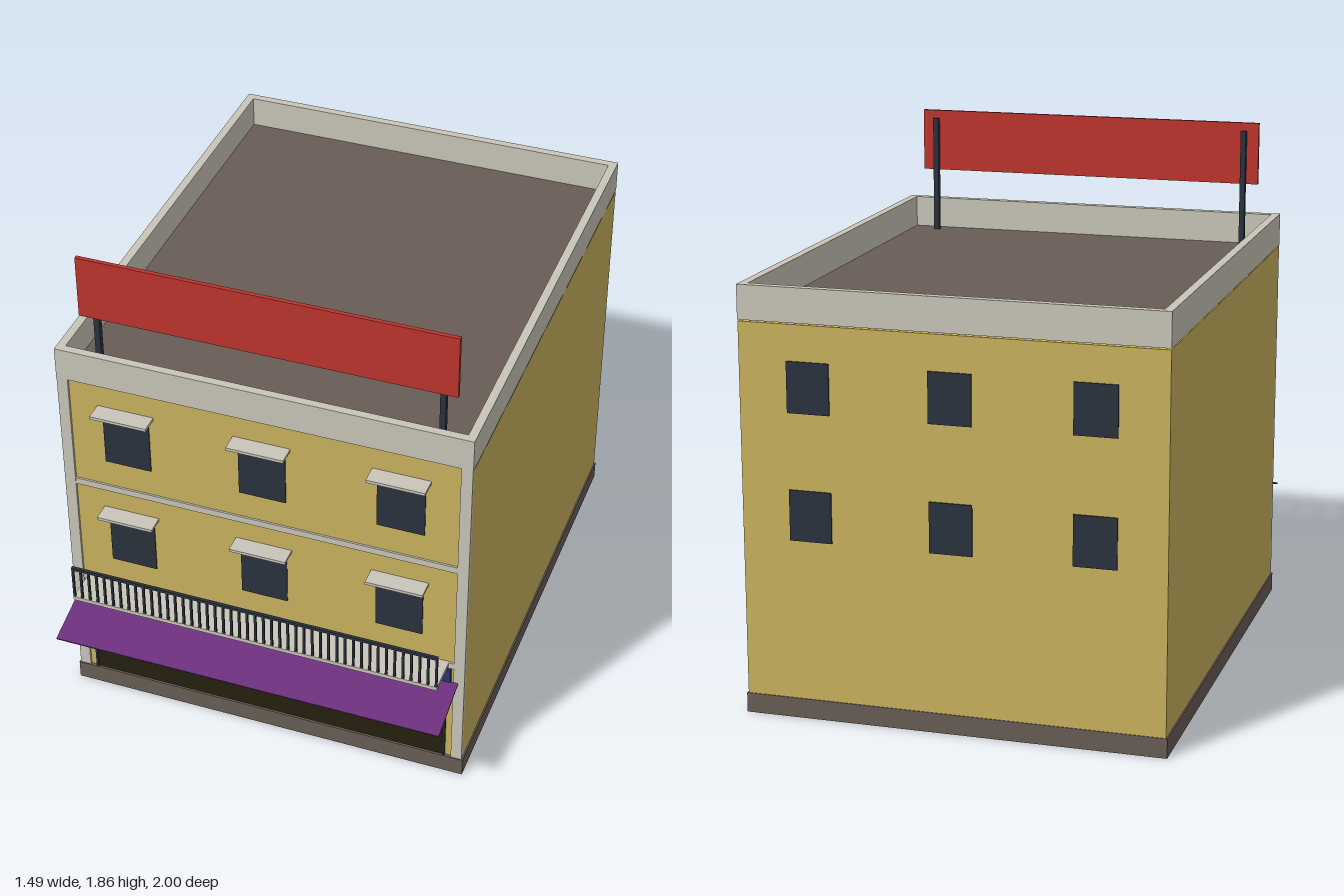
import * as THREE from 'three';

const paint = (name, color) => {
  const m = new THREE.MeshStandardMaterial({ color });
  m.name = name;
  return m;
};

export function createModel() {
  const yellow = paint('yellow plaster', 0xc9b35e);
  const stone = paint('pale stone', 0xc9c5b9);
  const brown = paint('brown grey', 0x695d56);
  const slate = paint('dark slate', 0x2b323e);
  const red = paint('red', 0xbe342d);
  const purple = paint('purple', 0x6b2f7b);
  const blue = paint('blue', 0x28366b);
  const steel = paint('shutter grey', 0x858b94);
  const dark = paint('shop dark', 0x24210f);

  const model = new THREE.Group();
  model.name = 'shopBuilding';

  // Box given by its extents along each axis
  const box = (name, mat, x0, x1, y0, y1, z0, z1, parent = model) => {
    const mesh = new THREE.Mesh(new THREE.BoxGeometry(x1 - x0, y1 - y0, z1 - z0), mat);
    mesh.position.set((x0 + x1) / 2, (y0 + y1) / 2, (z0 + z1) / 2);
    mesh.name = name;
    parent.add(mesh);
    return mesh;
  };
  const group = (name) => {
    const g = new THREE.Group();
    g.name = name;
    model.add(g);
    return g;
  };

  // Rectangular ring standing upright, used for plinth and parapet
  const ring = (name, mat, hx, z0, z1, y0, y1, t) => {
    const rect = (Path, a, b, c) => new Path([
      new THREE.Vector2(-a, -b), new THREE.Vector2(a, -b),
      new THREE.Vector2(a, -c), new THREE.Vector2(-a, -c)]);
    const shape = rect(THREE.Shape, hx, z1, z0);
    shape.holes.push(rect(THREE.Path, hx - t, z1 - t, z0 + t));
    const geo = new THREE.ExtrudeGeometry(shape, { depth: y1 - y0, bevelEnabled: false });
    geo.rotateX(-Math.PI / 2);
    const mesh = new THREE.Mesh(geo, mat);
    mesh.position.y = y0;
    mesh.name = name;
    model.add(mesh);
  };

  // Plinth with a hollow underside, walls, roof and parapet
  ring('plinth', brown, 0.745, -0.998, 0.79, 0, 0.07, 0.008);
  box('floor', brown, -0.74, 0.74, 0.06, 0.069, -0.994, 0.785);
  box('walls', yellow, -0.74, 0.74, 0.069, 1.385, -0.995, 0.778);
  box('roof', brown, -0.72, 0.72, 1.38, 1.395, -0.975, 0.76);
  ring('parapet', stone, 0.741, -0.996, 0.787, 1.39, 1.51, 0.03);

  // Front stonework
  for (const s of [-1, 1]) {
    box('cornerPilaster', stone, s * 0.72 - 0.02, s * 0.72 + 0.02, 0.07, 1.39, 0.77, 0.787);
  }
  box('floorBand', stone, -0.7, 0.7, 0.935, 0.96, 0.77, 0.785);
  box('balconyBand', stone, -0.7, 0.7, 0.495, 0.52, 0.77, 0.785);

  // Windows with hoods in front, plain windows at the back
  for (const y of [0.62, 1.065]) {
    for (const x of [-0.495, 0, 0.495]) {
      box('frontWindow', slate, x - 0.085, x + 0.085, y, y + 0.205, 0.775, 0.782);
      box('windowHood', stone, x - 0.103, x + 0.103, y + 0.225, y + 0.236, 0.775, 0.845);
      box('backWindow', slate, x - 0.075, x + 0.075, y + 0.017, y + 0.195, -1, -0.993);
    }
  }

  // Shop front with a half-raised slatted shutter
  box('shopOpening', dark, -0.67, 0.67, 0.07, 0.26, 0.775, 0.782);
  const shutter = group('shutter');
  box('shutterBacking', slate, -0.67, 0.67, 0.255, 0.435, 0.775, 0.782, shutter);
  for (let i = 0; i < 5; i++) {
    const y = 0.242 + i * 0.039;
    box('slat', steel, -0.665, 0.665, Math.max(y, 0.259), y + 0.032, 0.778, 0.789, shutter);
  }
  for (const s of [-1, 1]) {
    box('shutterRail', slate, s * 0.672 - 0.004, s * 0.672 + 0.004, 0.07, 0.435, 0.775, 0.788);
  }
  box('fascia', blue, -0.69, 0.69, 0.43, 0.495, 0.775, 0.794);

  // Sloping awning
  const awning = box('awning', purple, -0.718, 0.718, -0.003, 0.003, -0.109, 0.109);
  awning.position.set(0, 0.406, 0.894);
  awning.rotation.x = Math.atan2(0.058, 0.21);

  // Balcony and railing
  box('balconySlab', stone, -0.68, 0.68, 0.505, 0.52, 0.775, 0.915);
  const railing = group('railing');
  box('topRail', slate, -0.68, 0.68, 0.645, 0.656, 0.905, 0.916, railing);
  const bars = 46;
  for (let i = 0; i < bars; i++) {
    const x = -0.676 + (1.352 * i) / (bars - 1);
    box('bar', slate, x - 0.004, x + 0.004, 0.52, 0.647, 0.907, 0.915, railing);
  }

  // Rooftop board on two posts
  box('signBoard', red, -0.665, 0.665, 1.63, 1.862, 0.718, 0.733);
  for (const s of [-1, 1]) {
    box('signPost', slate, s * 0.61 - 0.01, s * 0.61 + 0.01, 1.39, 1.832, 0.697, 0.718);
  }

  return model;
}
